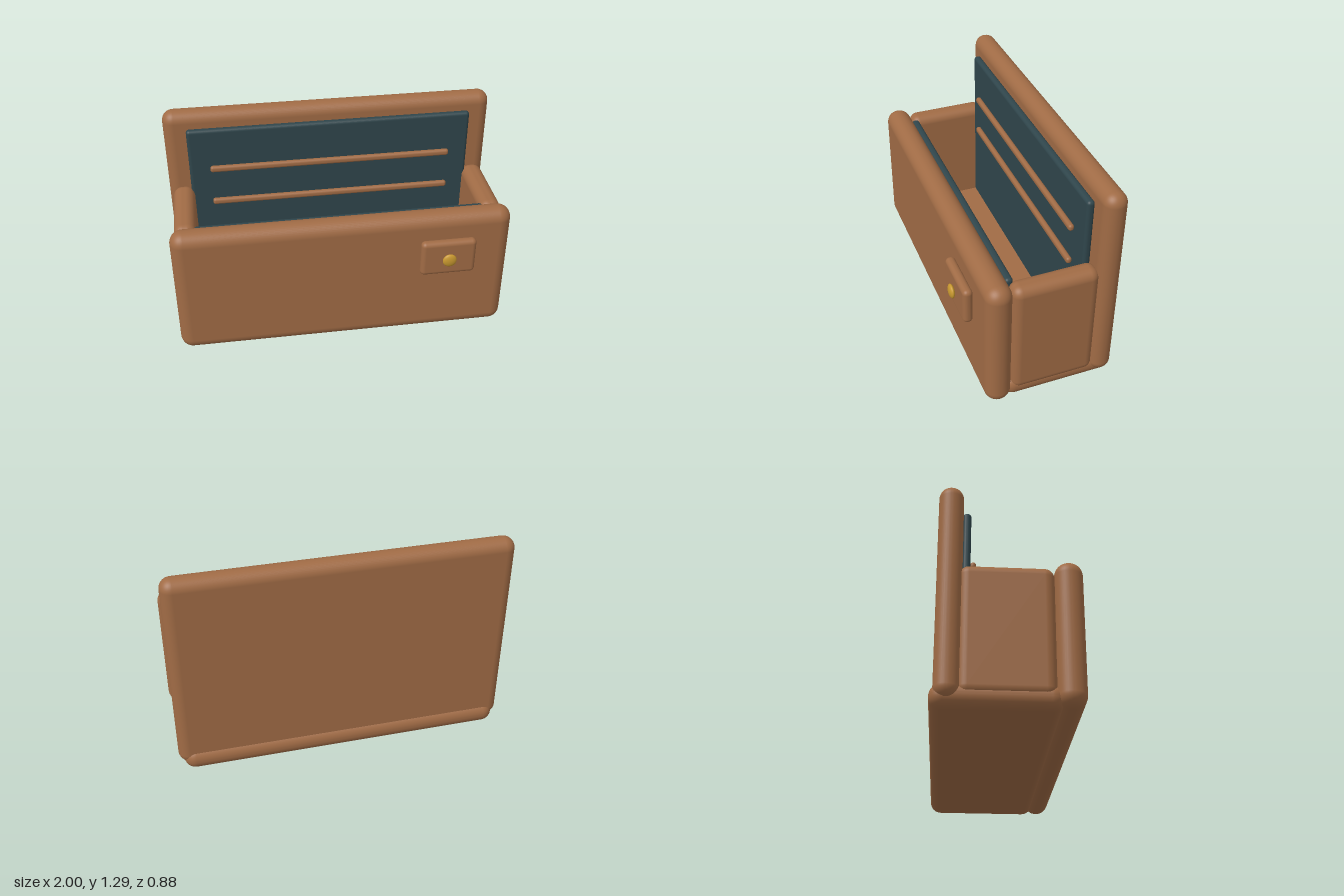
import * as THREE from 'three';
import { RoundedBoxGeometry } from 'three/addons/geometries/RoundedBoxGeometry.js';

export function createModel() {
  const model = new THREE.Group();
  model.name = 'openBox';

  const leather = new THREE.MeshStandardMaterial({ name: 'brown leather', color: 0xa06b45 });
  const lining = new THREE.MeshStandardMaterial({ name: 'dark teal lining', color: 0x2f454b });
  const brass = new THREE.MeshStandardMaterial({ name: 'brass', color: 0xc8982f });

  function add(name, geometry, material, x, y, z) {
    const mesh = new THREE.Mesh(geometry, material);
    mesh.name = name;
    mesh.position.set(x, y, z);
    model.add(mesh);
    return mesh;
  }

  // Soft-edged panel given by its extents on each axis
  function panel(name, material, [x0, x1], [y0, y1], [z0, z1], radius) {
    const geometry = new RoundedBoxGeometry(x1 - x0, y1 - y0, z1 - z0, 5, radius);
    return add(name, geometry, material, (x0 + x1) / 2, (y0 + y1) / 2, (z0 + z1) / 2);
  }

  // Padded shell
  panel('base', leather, [-0.97, 0.97], [0, 0.14], [-0.44, 0.24], 0.068);
  panel('frontPanel', leather, [-1, 1], [0.01, 0.842], [0.197, 0.35], 0.075);
  panel('backPanel', leather, [-1, 1], [0.04, 1.29], [-0.42, -0.285], 0.066);
  for (const side of [1, -1]) {
    const wall = panel(side > 0 ? 'leftWall' : 'rightWall', leather,
      [-0.065, 0.065], [0.06, 0.805], [-0.305, 0.2], 0.055);
    wall.position.x = side * 0.912;
  }

  // Inner lining
  panel('backLining', lining, [-0.865, 0.865], [0.12, 1.195], [-0.287, -0.242], 0.02);
  panel('frontLining', lining, [-0.86, 0.86], [0.12, 0.8], [0.158, 0.205], 0.02);

  // Slim strips across the back lining
  [0.94, 0.71].forEach((y, i) =>
    panel('pocketStrip' + (i + 1), leather, [-0.74, 0.74], [y - 0.02, y + 0.02], [-0.242, -0.208], 0.016));

  // Clasp with its round stud
  panel('clasp', leather, [0.445, 0.775], [0.47, 0.7], [0.352, 0.41], 0.027);
  add('claspStud', new THREE.SphereGeometry(0.042, 24, 16), brass, 0.61, 0.585, 0.426)
    .scale.set(1, 1, 0.41);

  return model;
}
